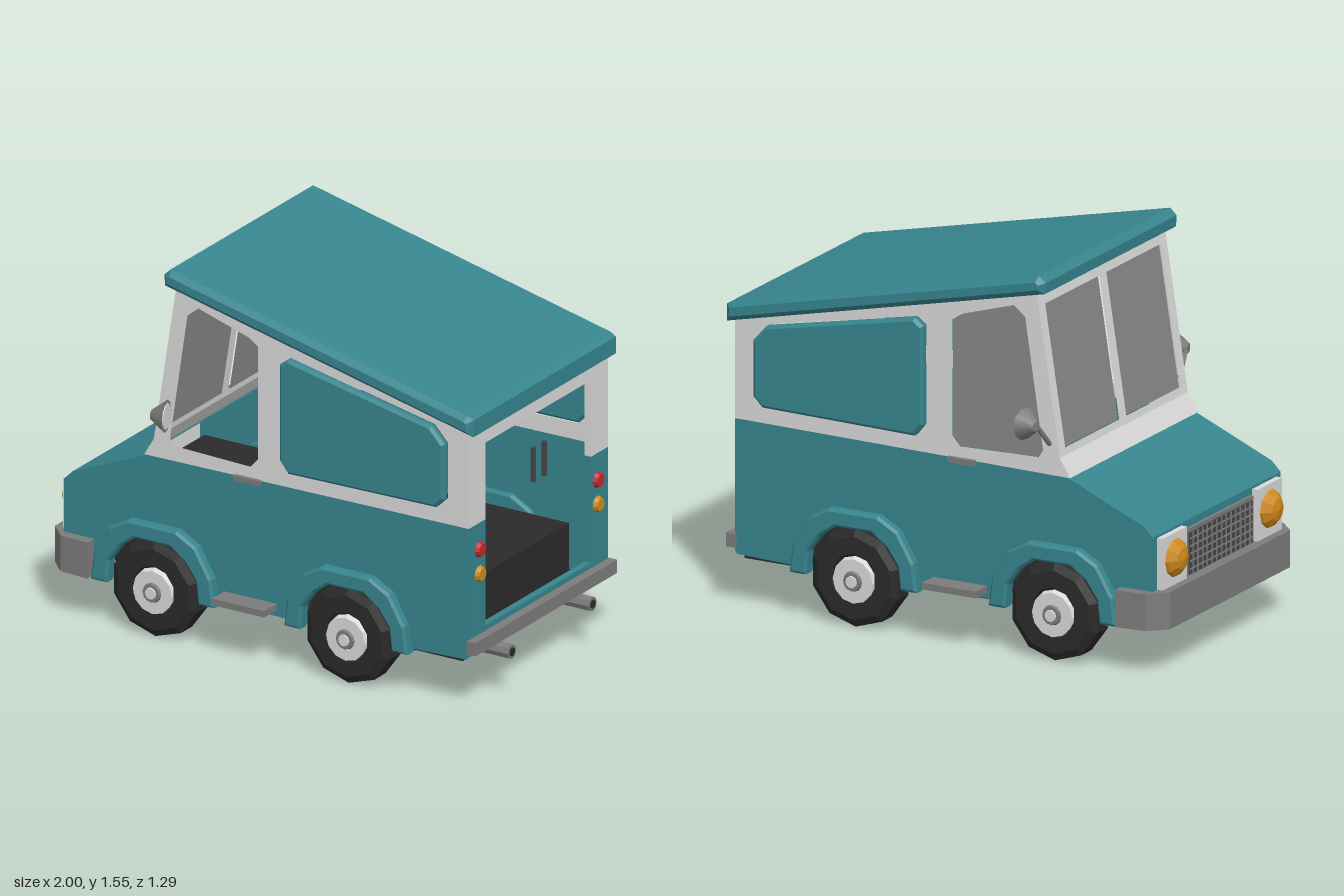
import * as THREE from 'three';

const mat = (name, color, side = THREE.FrontSide) => {
  const m = new THREE.MeshStandardMaterial({ color, side });
  m.name = name;
  return m;
};

export function createModel() {
  const van = new THREE.Group();
  van.name = 'van';
  const teal = mat('teal paint', 0x37858e, THREE.DoubleSide);
  const white = mat('white paint', 0xdadada, THREE.DoubleSide);
  const glass = mat('grey glass', 0x888888, THREE.DoubleSide);
  const grey = mat('bumper grey', 0x7c7c7c);
  const black = mat('black rubber', 0x2a2a2a);
  const dark = mat('grille dark', 0x454545);
  const amber = mat('amber lamp', 0xd08a1c);
  const red = mat('red lamp', 0xc4282c);

  const add = (name, geo, material, x = 0, y = 0, z = 0) => {
    const g = geo.index ? geo.toNonIndexed() : geo;
    g.computeVertexNormals();
    const m = new THREE.Mesh(g, material);
    m.name = name;
    m.position.set(x, y, z);
    van.add(m);
    return m;
  };
  const box = (name, material, x0, x1, y0, y1, z0, z1) =>
    add(name, new THREE.BoxGeometry(x1 - x0, y1 - y0, z1 - z0), material,
      (x0 + x1) / 2, (y0 + y1) / 2, (z0 + z1) / 2);
  const shapeOf = (pts, holes = []) => {
    const s = new THREE.Shape(pts.map(p => new THREE.Vector2(...p)));
    s.holes = holes.map(h => new THREE.Path(h.map(p => new THREE.Vector2(...p))));
    return s;
  };
  // flat sheet whose 2D points are placed in space by a rule
  const sheet = (name, material, pts, holes, place) => {
    const g = new THREE.ShapeGeometry(shapeOf(pts, holes));
    const p = g.attributes.position;
    for (let i = 0; i < p.count; i++) p.setXYZ(i, ...place(p.getX(i), p.getY(i)));
    return add(name, g, material);
  };
  // side profile extruded across z, with an optional chamfer
  const slab = (name, material, pts, z0, z1, bevel = 0) => {
    const g = new THREE.ExtrudeGeometry(shapeOf(pts), {
      depth: z1 - z0 - 2 * bevel, bevelEnabled: bevel > 0, bevelSize: bevel,
      bevelOffset: -bevel, bevelThickness: bevel, bevelSegments: 1 });
    return add(name, g, material, 0, 0, z0 + bevel);
  };
  const span = (s, a, b) => (s > 0 ? [a, b] : [-b, -a]);
  const rect = (a, b, c, d) => [[a, c], [b, c], [b, d], [a, d]];

  const axles = [-0.5, 0.39];
  const innerArch = c => [[-.21, .2], [-.2, .28], [-.15, .35], [-.08, .4], [.08, .4], [.15, .35], [.2, .28], [.21, .2]]
    .map(([x, y]) => [c + x, y]);
  const outerArch = c => [[-.285, .185], [-.27, .3], [-.2, .42], [-.11, .47], [.11, .47], [.2, .42], [.27, .3], [.285, .185]]
    .map(([x, y]) => [c + x, y]);
  const windowPts = [[-.44, .84], [-.36, 1.37], [-.31, 1.41], [-.08, 1.34], [-.035, 1.31], [-.035, .84], [-.07, .8], [-.42, .81]];
  const panelPts = [[.08, .87], [.08, 1.27], [.12, 1.3], [.78, 1.165], [.84, 1.1], [.84, .87], [.8, .83], [.12, .82]];
  const lowerSide = [[-.93, .21], ...innerArch(axles[0]), ...innerArch(axles[1]),
    [.93, .21], [.93, .76], [-.55, .745], [-.89, .6], [-.93, .56]];
  const upperSide = [[-.56, .745], [.93, .76], [.93, 1.18], [-.41, 1.49], [-.515, .82]];

  for (const s of [1, -1]) {
    const side = (x, y) => [x, y, s * 0.5];
    sheet('lowerSide', teal, lowerSide, [], side);
    sheet('upperSide', white, upperSide, [windowPts, panelPts], side);
    slab('sidePanel', teal, panelPts, ...span(s, .495, .535), .012);
    if (s < 0) sheet('sideWindow', glass, windowPts, [], (x, y) => [x, y, -.496]);

    // wheels and fenders
    for (const c of axles) {
      const inner = innerArch(c);
      inner[0][1] = inner[7][1] = .185;
      slab('fender', teal, [...outerArch(c), ...inner.reverse()], ...span(s, .48, .54), .01);
      const tyre = new THREE.LatheGeometry([[0, -.058], [.17, -.058], [.2, -.04], [.2, .04], [.17, .058], [.1, .058], [.09, .04], [0, .04]]
        .map(p => new THREE.Vector2(...p)), 10);
      tyre.rotateX(s * Math.PI / 2);
      add('tyre', tyre, black, c, .2, s * .472);
      const disc = (name, r, h, z, m) => add(name,
        new THREE.CylinderGeometry(r * .9, r, h, 12).rotateX(s * Math.PI / 2), m, c, .19, s * z);
      disc('hubcap', .1, .03, .52, white);
      disc('hubRing', .042, .012, .54, grey);
      disc('hubCentre', .026, .012, .546, white);
    }

    // steps, handles, exhausts
    box('sideStep', grey, -.19, .05, .225, .252, ...span(s, .49, .59));
    box('doorHandle', grey, -.14, -.02, .733, .755, ...span(s, .5, .517));
    box('rearHandle', dark, .93, .945, .8, .945, ...span(s, .03, .046));
    add('exhaustTip', new THREE.CylinderGeometry(.03, .03, .2, 8).rotateZ(Math.PI / 2), grey, .9, .188, s * .29);
    add('exhaustPipe', new THREE.CylinderGeometry(.012, .03, .16, 8).rotateZ(Math.PI / 2), grey, .72, .188, s * .29);
    add('exhaustBore', new THREE.CylinderGeometry(.019, .019, .005, 8).rotateZ(Math.PI / 2), black, 1, .188, s * .29);

    // lamps
    const rearLamp = (name, y, m) => add(name,
      new THREE.CylinderGeometry(.036, .026, .022, 10).rotateZ(Math.PI / 2), m, .941, y, s * .425);
    rearLamp('tailLamp', .65, red);
    rearLamp('rearIndicator', .548, amber);
    box('headlampPlate', white, -.955, -.92, .34, .55, ...span(s, .275, .465));
    const lamp = new THREE.LatheGeometry([[.078, 0], [.074, .015], [.045, .04], [0, .05]]
      .map(p => new THREE.Vector2(...p)), 10).rotateZ(Math.PI / 2);
    add('headlamp', lamp, amber, -.952, .45, s * .37);

    // door mirror
    const mirror = new THREE.Group();
    mirror.name = 'mirror';
    mirror.position.set(-.435, .965, s * .59);
    mirror.rotation.y = s * .25;
    const shell = new THREE.Mesh(new THREE.CylinderGeometry(.02, .066, .06, 10).rotateZ(Math.PI / 2), grey);
    shell.name = 'mirrorShell';
    const face = new THREE.Mesh(new THREE.CylinderGeometry(.053, .053, .006, 10).rotateZ(Math.PI / 2), white);
    face.name = 'mirrorGlass';
    face.position.x = .031;
    mirror.add(shell, face);
    van.add(mirror);
    add('mirrorStalk', new THREE.TubeGeometry(new THREE.CatmullRomCurve3([
      new THREE.Vector3(-.47, .87, s * .5), new THREE.Vector3(-.47, .9, s * .53),
      new THREE.Vector3(-.46, .96, s * .58)]), 6, .01, 6), grey);

    // rear pillars
    box('rearPillarLower', teal, .905, .935, .22, .76, ...span(s, .38, .501));
    box('rearPillarUpper', white, .905, .935, .76, 1.17, ...span(s, .38, .501));
  }
  box('rearSill', teal, .905, .934, .21, .315, -.38, .38);
  box('rearHeader', white, .905, .934, 1.08, 1.17, -.38, .38);

  // nose and bonnet, strips across the body
  const nose = [[-.93, .21], [-.93, .56], [-.89, .6], [-.55, .745]];
  for (let i = 0; i < 3; i++) {
    const [a, b] = [nose[i], nose[i + 1]];
    sheet(i === 2 ? 'bonnet' : 'nose', teal, rect(-.5, .5, 0, 1), [],
      (z, t) => [a[0] + (b[0] - a[0]) * t, a[1] + (b[1] - a[1]) * t, z]);
  }

  // windscreen: cowl, frame and two panes
  const screenX = y => -.515 + (y - .82) * .105 / .67;
  const onScreen = (z, y) => [screenX(y), y, z];
  const panes = [rect(-.45, -.028, .85, 1.42), rect(.028, .45, .85, 1.42)];
  sheet('cowl', white, rect(-.5, .5, .745, .82), [], (z, y) => [-.56 + (y - .745) * .6, y, z]);
  sheet('windscreenFrame', white, rect(-.5, .5, .82, 1.49), panes, onScreen);
  panes.forEach(p => sheet('windscreen', glass, p, [], (z, y) => [screenX(y) + .006, y, z]));

  // sloping roof with chamfered edge
  slab('roof', teal, [[-.455, 1.48], [.965, 1.155], [.965, 1.225], [.94, 1.24], [-.43, 1.552], [-.458, 1.525]], -.535, .535, .022);

  // grille
  box('grilleFrame', grey, -.945, -.92, .33, .53, -.26, .26);
  box('grille', dark, -.95, -.944, .345, .515, -.245, .245);
  for (let i = 0; i < 5; i++) box('grilleBar', grey, -.954, -.949, .365 + i * .031, .371 + i * .031, -.245, .245);
  for (let i = 0; i < 13; i++) box('grilleBar', grey, -.954, -.949, .345, .515, -.225 + i * .037, -.219 + i * .037);

  // wrap-around front bumper and straight rear bumper
  const plan = [[-.79, -.55], [-.92, -.54], [-.99, -.47], [-.99, .47], [-.92, .54], [-.79, .55],
    [-.79, .5], [-.9, .495], [-.94, .45], [-.94, -.45], [-.9, -.495], [-.79, -.5]];
  const bumper = new THREE.ExtrudeGeometry(shapeOf(plan), { depth: .15, bevelEnabled: false });
  add('frontBumper', bumper.rotateX(-Math.PI / 2), grey, 0, .19, 0);
  box('rearBumper', grey, .93, .972, .237, .293, -.51, .51);

  // chassis, floor edges and cross beams
  box('chassis', black, -.82, .86, .192, .48, -.34, .34);
  box('floorMiddle', black, -.23, .14, .195, .215, -.49, .49);
  box('floorRear', black, .63, .9, .195, .215, -.49, .49);
  for (const c of axles) for (const d of [-.25, .25])
    box('crossBeam', teal, c + d - .025, c + d + .025, .18, .2, -.52, .52);

  return van;
}
